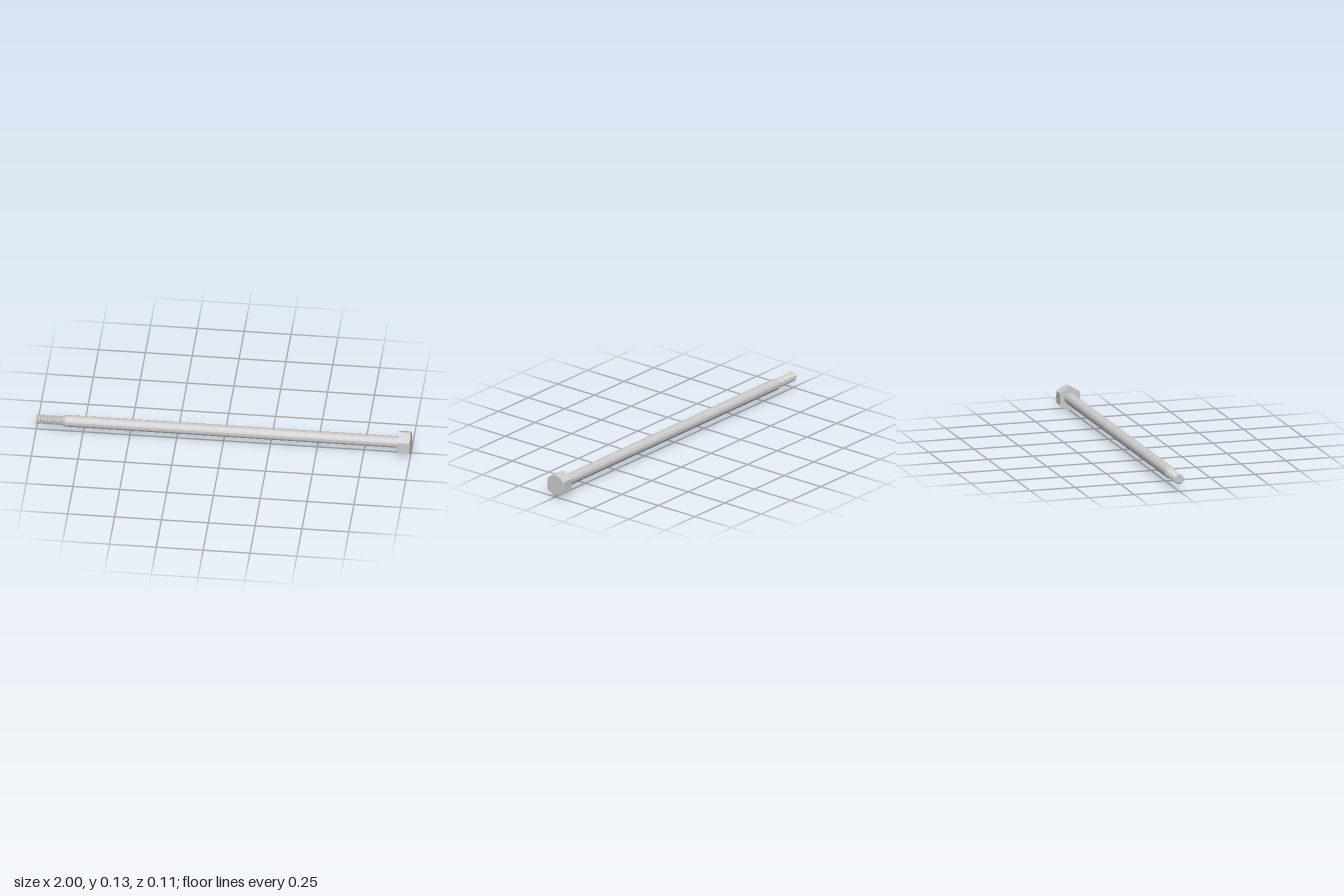
import * as THREE from 'three';
import { toCreasedNormals } from 'three/addons/utils/BufferGeometryUtils.js';

const AXIS_Y = 0.0655;   // height of the bolt axis
const FLAT = 0.0567;     // half the width across the hexagon flats
const SEGMENTS = 48;
const material = new THREE.MeshStandardMaterial({ color: 0xcccccc });

// Closed surface around the x axis; rows run towards +x and point(row, angle) gives [x, radius].
function ringMesh(name, rowCount, point) {
  const positions = [];
  const at = (row, i) => {
    const a = (i % SEGMENTS) / SEGMENTS * Math.PI * 2;
    const [x, r] = point(row, a);
    return [x, r * Math.cos(a), r * Math.sin(a)];
  };
  const isCentre = (p) => Math.hypot(p[1], p[2]) < 1e-7;
  for (let row = 0; row < rowCount - 1; row++) {
    for (let i = 0; i < SEGMENTS; i++) {
      const a = at(row, i), b = at(row, i + 1);
      const c = at(row + 1, i + 1), d = at(row + 1, i);
      if (!isCentre(a)) positions.push(...a, ...b, ...c);
      if (!isCentre(c)) positions.push(...a, ...c, ...d);
    }
  }
  const geometry = new THREE.BufferGeometry();
  geometry.setAttribute('position', new THREE.Float32BufferAttribute(positions, 3));
  const mesh = new THREE.Mesh(toCreasedNormals(geometry, 0.4), material);
  mesh.name = name;
  mesh.position.y = AXIS_Y;
  return mesh;
}

// Hexagonal head with a conical chamfer on its outer face
function makeHead() {
  const hexRadius = (a) => FLAT / Math.cos((a % (Math.PI / 3)) - Math.PI / 6);
  const chamferStart = 0.0555;
  return ringMesh('hexHead', 5, (row, a) => {
    const r = hexRadius(a);
    return [
      [0.935, 0],
      [0.935, r],
      [1 - (r - chamferStart) * 0.577, r],
      [1, chamferStart],
      [1, 0],
    ][row];
  });
}

// Smooth shank with a chamfered end
function makeShank() {
  const profile = [[-0.855, 0], [-0.855, 0.025], [-0.845, 0.031], [0.94, 0.031], [0.94, 0]];
  return ringMesh('shank', profile.length, (row) => profile[row]);
}

// Threaded tip: a V-shaped helical groove
function makeThread() {
  const start = -1, end = -0.85, pitch = 0.0125, steps = 96;
  const crest = 0.026, root = 0.0195;
  return ringMesh('threadedTip', steps + 3, (row, a) => {
    const t = THREE.MathUtils.clamp((row - 1) / steps, 0, 1);
    const x = start + (end - start) * t;
    if (row === 0 || row === steps + 2) return [x, 0];
    const turn = (x - start) / pitch - a / (Math.PI * 2);
    const phase = turn - Math.floor(turn);
    return [x, root + (crest - root) * Math.abs(phase * 2 - 1)];
  });
}

export function createModel() {
  const bolt = new THREE.Group();
  bolt.name = 'bolt';
  bolt.add(makeHead(), makeShank(), makeThread());
  return bolt;
}
